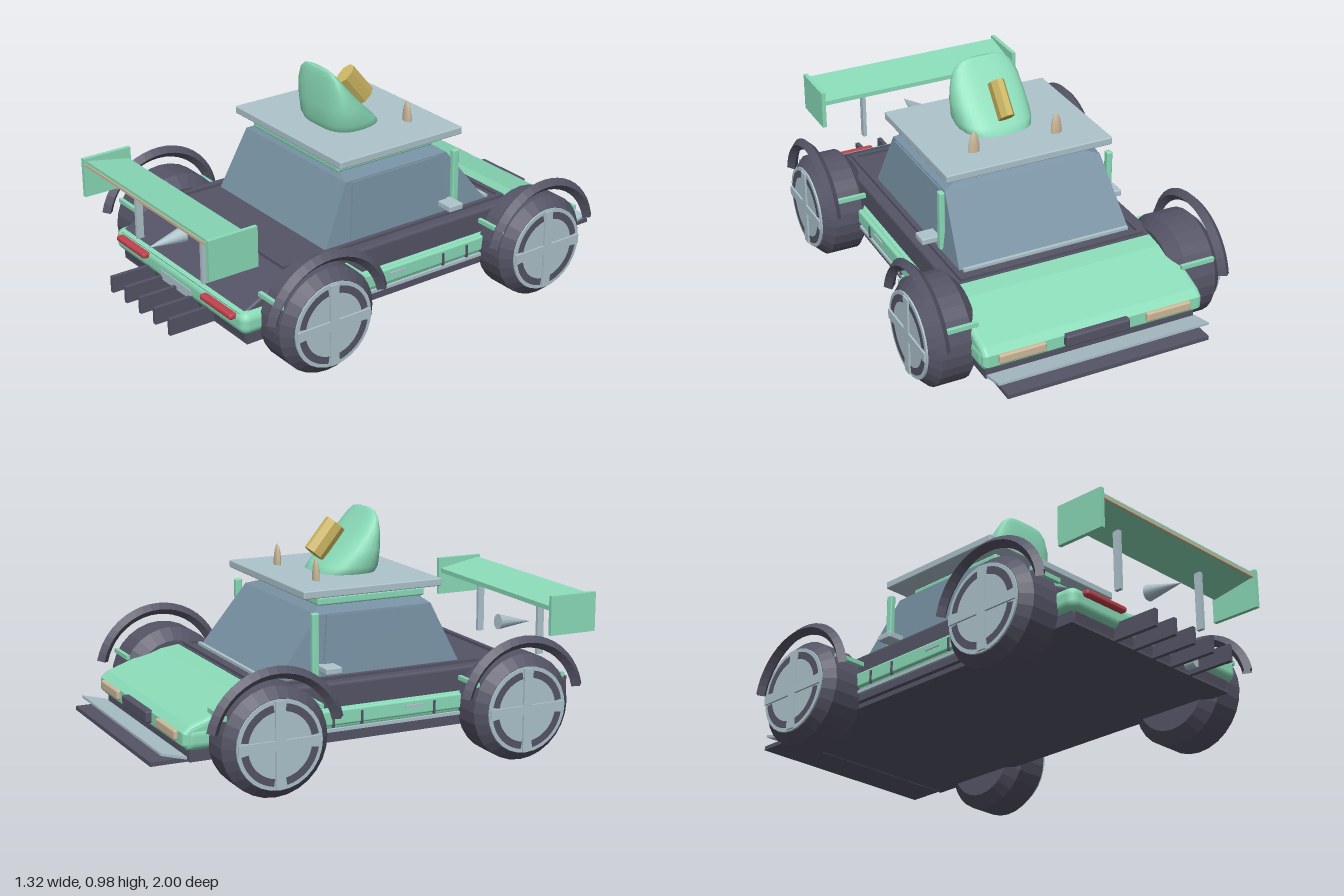
import * as THREE from 'three';
import { RoundedBoxGeometry } from 'three/addons/geometries/RoundedBoxGeometry.js';
import { ConvexGeometry } from 'three/addons/geometries/ConvexGeometry.js';

const mat = (name, color, extra = {}) => Object.assign(new THREE.MeshStandardMaterial({ color, ...extra }), { name });

export function createModel() {
  const car = new THREE.Group();
  car.name = 'car';
  const dark = mat('dark slate', 0x555466, { side: THREE.DoubleSide });
  const green = mat('mint green', 0x8adbb8);
  const grey = mat('pale grey', 0xadc3cb);
  const glass = mat('blue glass', 0x7791a3);
  const tan = mat('tan', 0xcdb99a);
  const gold = mat('gold', 0xccb662);
  const red = mat('red', 0xc0424e);

  const add = (name, geo, material, parent = car) => {
    const m = new THREE.Mesh(geo, material);
    m.name = name;
    parent.add(m);
    return m;
  };
  // box given by its extents on each axis
  const box = (name, material, [x0, x1], [y0, y1], [z0, z1], parent = car, round = 0) => {
    const size = [x1 - x0, y1 - y0, z1 - z0];
    const geo = round ? new RoundedBoxGeometry(...size, 3, round) : new THREE.BoxGeometry(...size);
    const m = add(name, geo, material, parent);
    m.position.set((x0 + x1) / 2, (y0 + y1) / 2, (z0 + z1) / 2);
    return m;
  };
  // box placed on both sides of the car
  const pair = (name, material, [x0, x1], y, z, round) => {
    box(name + 'Left', material, [x0, x1], y, z, car, round);
    box(name + 'Right', material, [-x1, -x0], y, z, car, round);
  };
  // side profile of [z, y] points extruded across the width
  const profile = (name, material, pts, half, bevel = 0) => {
    const shape = new THREE.Shape(pts.map(([z, y]) => new THREE.Vector2(-z, y)));
    const depth = 2 * (half - bevel);
    const geo = new THREE.ExtrudeGeometry(shape, {
      depth, bevelEnabled: bevel > 0, bevelSize: bevel, bevelThickness: bevel, bevelOffset: -bevel, bevelSegments: 3,
    });
    geo.translate(0, 0, -depth / 2).rotateY(Math.PI / 2);
    return add(name, geo, material);
  };

  // Body
  profile('mainBody', dark, [[0.8, 0.15], [0.82, 0.27], [0.6, 0.378], [-0.54, 0.378], [-0.56, 0.15]], 0.455, 0.012);
  profile('hood', green, [[-0.54, 0.2], [-0.54, 0.375], [-0.62, 0.365], [-0.85, 0.285], [-0.88, 0.26], [-0.88, 0.21], [-0.86, 0.19]], 0.48, 0.02);
  box('bumperBelt', green, [-0.485, 0.485], [0.185, 0.28], [-0.87, 0.83], car, 0.035);
  box('floorTray', dark, [-0.46, 0.46], [0.14, 0.19], [-0.85, 0.8]);
  box('deckFrontRail', dark, [-0.41, 0.41], [0.37, 0.39], [-0.53, -0.51]);
  box('deckRearRail', dark, [-0.41, 0.41], [0.37, 0.39], [0.575, 0.595]);
  pair('deckSideRail', dark, [0.39, 0.41], [0.37, 0.39], [-0.53, 0.595]);
  box('cowlStrip', grey, [-0.37, 0.37], [0.375, 0.39], [-0.475, -0.46]);

  // Side sills
  pair('sillPanel', green, [0.47, 0.495], [0.215, 0.28], [-0.36, 0.32], 0.01);
  pair('sillRail', grey, [0.47, 0.492], [0.19, 0.203], [-0.36, 0.32]);
  pair('sillSkirt', dark, [0.44, 0.48], [0.16, 0.19], [-0.4, 0.36]);
  pair('doorHandle', grey, [0.49, 0.5], [0.247, 0.26], [0.06, 0.14]);
  for (const z of [0.19, -0.135, -0.26]) pair('sillDivider', dark, [0.49, 0.499], [0.21, 0.265], [z - 0.005, z + 0.005]);

  // Cabin and roof
  const cabinPoints = [];
  for (const s of [-1, 1]) {
    for (const [x, y, z] of [[0.38, 0.375, -0.455], [0.38, 0.375, 0.37], [0.35, 0.63, -0.26], [0.35, 0.63, 0.25], [0.28, 0.652, -0.23], [0.28, 0.652, 0.23]])
      cabinPoints.push(new THREE.Vector3(s * x, y, z));
  }
  add('cabinGlass', new ConvexGeometry(cabinPoints), glass);
  for (const s of [-1, 1]) {
    const pane = [];
    for (const dx of [-0.004, 0.004])
      for (const [x, y, z] of [[0.381, 0.39, -0.25], [0.381, 0.39, 0.25], [0.354, 0.625, -0.22], [0.354, 0.625, 0.22]])
        pane.push(new THREE.Vector3(s * (x + dx), y, z));
    add('sideWindow', new ConvexGeometry(pane), glass);
  }
  box('roofSlab', green, [-0.298, 0.298], [0.652, 0.686], [-0.23, 0.25], car, 0.008);
  box('roofSpacer', dark, [-0.12, 0.12], [0.68, 0.705], [-0.12, 0.1]);
  box('roofPlate', grey, [-0.37, 0.37], [0.7, 0.732], [-0.325, 0.29], car, 0.005);
  pair('pillar', green, [0.365, 0.39], [0.385, 0.646], [-0.298, -0.268], 0.006);
  pair('mirror', grey, [0.365, 0.455], [0.41, 0.437], [-0.27, -0.2], 0.005);

  // Rooftop pod: rounded cross-sections [y, half width, back z, front z]
  const rings = [[0.69, 0.001, 0, 0.01], [0.69, 0.1, -0.1, 0.09], [0.71, 0.145, -0.135, 0.13], [0.76, 0.165, -0.09, 0.148], [0.83, 0.163, -0.015, 0.15],
    [0.9, 0.15, 0.05, 0.147], [0.95, 0.125, 0.092, 0.142], [0.975, 0.095, 0.112, 0.137], [0.983, 0.06, 0.118, 0.132], [0.983, 0.001, 0.124, 0.126]];
  const N = 32, pos = [], idx = [];
  rings.forEach(([y, w, z0, z1], i) => {
    for (let j = 0; j < N; j++) {
      const a = (j / N) * Math.PI * 2;
      const sq = (v) => Math.sign(v) * Math.abs(v) ** 0.65;
      const t = sq(Math.sin(a));
      pos.push(w * sq(Math.cos(a)) * (1 + 0.12 * Math.min(t, 0)), y, (z0 + z1) / 2 + (t * (z1 - z0)) / 2);
      if (i === rings.length - 1) continue;
      const p = i * N + j, q = i * N + ((j + 1) % N);
      idx.push(p, p + N, q, q, p + N, q + N);
    }
  });
  const podGeo = new THREE.BufferGeometry();
  podGeo.setAttribute('position', new THREE.Float32BufferAttribute(pos, 3));
  podGeo.setIndex(idx);
  podGeo.computeVertexNormals();
  add('roofPod', podGeo, green);

  // Faceted bar lying on the pod's slope
  const barGeo = new THREE.CylinderGeometry(1, 1, 0.155, 8).toNonIndexed();
  barGeo.rotateY(Math.PI / 8).scale(0.032, 1, 0.05);
  barGeo.computeVertexNormals();
  const bar = add('podBar', barGeo, gold);
  bar.position.set(0, 0.862, -0.055);
  bar.rotation.x = 0.69;

  // Horns
  const hornPts = [[0.024, 0], [0.024, 0.03], [0.019, 0.06], [0.01, 0.085], [0, 0.092]].map((p) => new THREE.Vector2(...p));
  for (const s of [-1, 1]) {
    const horn = add('horn', new THREE.LatheGeometry(hornPts, 12), tan);
    horn.position.set(s * 0.185, 0.728, -0.185);
    horn.scale.z = 0.55;
  }

  // Rear wing
  pair('wingEndPlate', green, [0.457, 0.475], [0.465, 0.632], [0.75, 0.968]);
  profile('wingBlade', green, [[0.76, 0.565], [0.955, 0.6], [0.955, 0.622], [0.76, 0.585]], 0.46);
  box('wingEdge', tan, [-0.457, 0.457], [0.598, 0.61], [0.95, 0.96]);
  pair('wingStrut', grey, [0.237, 0.253], [0.33, 0.58], [0.83, 0.86]);
  const cone = add('tailCone', new THREE.ConeGeometry(0.034, 0.165, 12).rotateX(Math.PI / 2), grey);
  cone.position.set(0, 0.418, 0.87);
  cone.rotation.x = 0.08;

  // Tail details
  pair('tailLight', red, [0.21, 0.43], [0.245, 0.27], [0.82, 0.855], 0.01);
  box('rearPanel', grey, [-0.112, 0.112], [0.195, 0.235], [0.826, 0.834]);
  const pipe = add('exhaustPipe', new THREE.CylinderGeometry(0.02, 0.02, 0.06, 12).rotateX(Math.PI / 2), grey);
  pipe.position.set(0.2, 0.176, 0.82);
  for (let i = -2; i <= 2; i++)
    box('diffuserFin', dark, [i * 0.11 - 0.009, i * 0.11 + 0.009], [0.14, 0.21], [0.8, 1]);

  // Nose details
  box('splitter', dark, [-0.44, 0.44], [0.138, 0.155], [-1, -0.84]);
  profile('splitterBlade', grey, [[-0.86, 0.153], [-0.86, 0.165], [-0.965, 0.192], [-0.965, 0.182]], 0.46);
  pair('headlight', tan, [0.22, 0.42], [0.22, 0.26], [-0.895, -0.86], 0.008);
  box('grille', dark, [-0.14, 0.14], [0.215, 0.265], [-0.903, -0.86], car, 0.008);

  // Wheels with hubs, arched guards and brackets
  const tyrePts = [[0, 0.43], [0.17, 0.43], [0.22, 0.475], [0.22, 0.605], [0.18, 0.645], [0, 0.645]].map((p) => new THREE.Vector2(...p));
  const tyreGeo = new THREE.LatheGeometry(tyrePts, 28).toNonIndexed().rotateZ(-Math.PI / 2);
  tyreGeo.computeVertexNormals();
  const hubGeo = new THREE.CylinderGeometry(0.178, 0.178, 0.02, 28).rotateZ(-Math.PI / 2).translate(0.642, 0, 0);
  const guardGeo = new THREE.TorusGeometry(0.265, 0.025, 4, 20, 2.7).rotateZ(0.22).rotateY(Math.PI / 2).toNonIndexed();
  guardGeo.computeVertexNormals();
  for (const z of [0.53, -0.56]) for (const s of [-1, 1]) {
    const wheel = new THREE.Group();
    wheel.name = 'wheel';
    wheel.position.set(0, 0.222, z);
    wheel.rotation.y = s < 0 ? Math.PI : 0;
    car.add(wheel);
    add('tyre', tyreGeo, dark, wheel);
    add('hub', hubGeo, grey, wheel);
    for (let k = 0; k < 4; k++) {
      const slot = new THREE.RingGeometry(0.132, 0.162, 10, 1, k * Math.PI / 2 + 0.17, Math.PI / 2 - 0.34);
      add('hubSlot', slot.rotateY(Math.PI / 2).translate(0.6535, 0, 0), dark, wheel);
    }
    box('spokeUpright', grey, [0.645, 0.66], [-0.172, 0.172], [-0.02, 0.02], wheel);
    box('spokeAcross', grey, [0.645, 0.66], [-0.02, 0.02], [-0.172, 0.172], wheel);
    add('wheelGuard', guardGeo, dark, wheel).position.set(0.615, 0.008, 0);
    for (const d of [-0.2, 0.2])
      box('guardBracket', green, [0.45, 0.6], [0.103, 0.121], [d - 0.008, d + 0.008], wheel);
  }
  return car;
}
